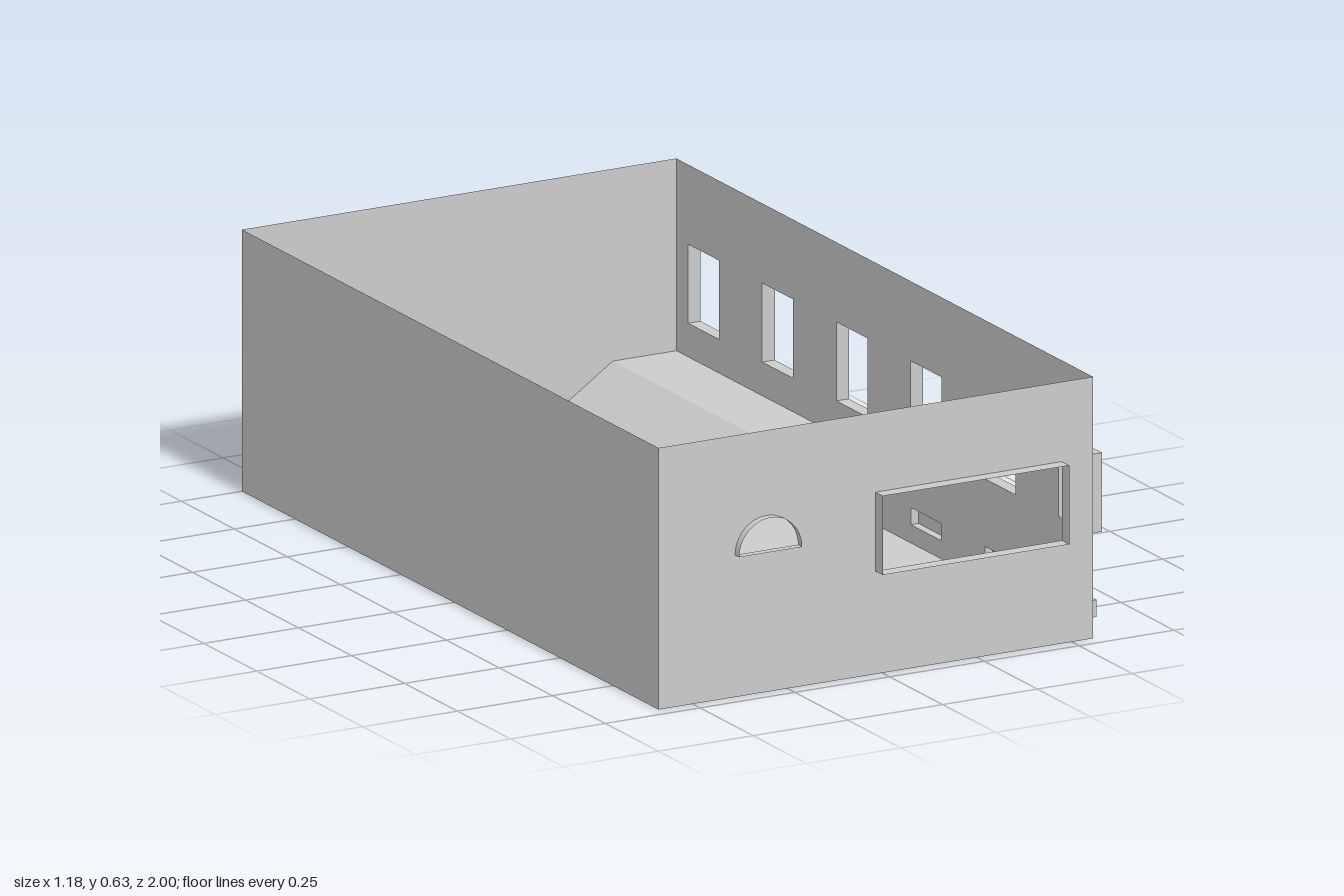
import * as THREE from 'three';

const X0 = -0.59, X1 = 0.556, Z0 = -1, Z1 = 0.965, H = 0.63;
const mat = new THREE.MeshStandardMaterial({ color: 0xcccccc, side: THREE.DoubleSide, flatShading: true });

const v2 = (pts) => pts.map(([x, y]) => new THREE.Vector2(x, y));
const rect = (x0, y0, x1, y1) => v2([[x0, y0], [x1, y0], [x1, y1], [x0, y1]]);

function add(parent, name, geometry) {
  const mesh = new THREE.Mesh(geometry, mat);
  mesh.name = name;
  parent.add(mesh);
  return mesh;
}

// Flat sheet with openings
function sheet(outline, holes = []) {
  const shape = new THREE.Shape(outline);
  holes.forEach((h) => shape.holes.push(new THREE.Path(h)));
  return new THREE.ShapeGeometry(shape);
}

// Thin band: an outline swept straight along +z; counter-clockwise outlines face outward
function band(pts, depth, closed = true) {
  const pos = [];
  const n = closed ? pts.length : pts.length - 1;
  for (let i = 0; i < n; i++) {
    const a = pts[i], b = pts[(i + 1) % pts.length];
    pos.push(a.x, a.y, 0, b.x, b.y, 0, b.x, b.y, depth);
    pos.push(a.x, a.y, 0, b.x, b.y, depth, a.x, a.y, depth);
  }
  const g = new THREE.BufferGeometry();
  g.setAttribute('position', new THREE.Float32BufferAttribute(pos, 3));
  g.computeVertexNormals();
  return g;
}

export function createModel() {
  const model = new THREE.Group();
  model.name = 'openRoomShell';

  const wallGroup = (name, x, z, turn) => {
    const g = new THREE.Group();
    g.name = name;
    g.position.set(x, 0, z);
    g.rotation.y = turn;
    model.add(g);
    return g;
  };

  // Stair recess cut (right rear) and small floor bump (left rear)
  const stairZ = -0.345, stairH = 0.167, stairX = 0.14, stairTopX = 0.388;
  const bx0 = -0.51, bx1 = -0.388, bumpH = 0.085, bumpTopZ = -0.925, bumpZ = -0.842;

  // Front wall with half-round and wide window
  const front = wallGroup('frontSide', 0, Z1, 0);
  const arch = [];
  for (let i = 0; i <= 24; i++) {
    const a = (Math.PI * i) / 24;
    arch.push(new THREE.Vector2(-0.305 + 0.083 * Math.cos(a), 0.342 + 0.083 * Math.sin(a)));
  }
  const wide = rect(-0.018, 0.248, 0.474, 0.438);
  add(front, 'frontWall', sheet(rect(X0, 0, X1, H), [arch, wide]));
  add(front, 'archWindowFrame', band(arch, 0.02));
  add(front, 'wideWindowFrame', band(wide, 0.035));

  // Right wall: local x runs toward the back
  const right = wallGroup('rightSide', X1, 0, Math.PI / 2);
  const windows = [], vents = [];
  for (let i = 0; i < 6; i++) {
    const u = -0.876 + i * 0.3495;
    windows.push(rect(u - 0.073, 0.248, u + 0.073, 0.438));
    if (i < 4) vents.push(rect(u - 0.071, 0.044, u + 0.071, 0.085));
  }
  const rightOutline = v2([[-Z1, 0], [-stairZ, 0], [-stairZ, stairH], [-Z0, stairH], [-Z0, H], [-Z1, H]]);
  add(right, 'rightWall', sheet(rightOutline, [...windows, ...vents]));
  windows.forEach((w) => add(right, 'windowFrame', band(w, 0.033)));
  vents.forEach((v) => {
    add(right, 'ventRim', band(v, 0.02));
    add(right, 'ventCover', sheet(v)).position.z = 0.02;
  });

  // Left wall
  const left = wallGroup('leftSide', X0, 0, -Math.PI / 2);
  add(left, 'leftWall', sheet(rect(Z0, 0, Z1, H)));

  // Back wall: local x is mirrored
  const back = wallGroup('backSide', 0, Z0, Math.PI);
  add(back, 'backWall', sheet(v2([
    [-X1, stairH], [-stairTopX, stairH], [-stairX, 0], [-bx1, 0], [-bx1, bumpH],
    [-bx0, bumpH], [-bx0, 0], [-X0, 0], [-X0, H], [-X1, H],
  ])));

  // Floor, outlined in x and z, cut away at both recesses
  const floor = add(model, 'floor', sheet(v2([
    [X0, Z0], [bx0, Z0], [bx0, bumpZ], [bx1, bumpZ], [bx1, Z0], [stairX, Z0],
    [stairX, stairZ], [X1, stairZ], [X1, Z1], [X0, Z1],
  ])));
  floor.rotation.x = Math.PI / 2;

  // Sloped stair recess with its front end closed
  const stair = wallGroup('stairRecess', 0, Z0, 0);
  const slope = v2([[stairX, 0], [stairTopX, stairH], [X1, stairH]]);
  add(stair, 'recessSlope', band(slope, stairZ - Z0, false));
  add(stair, 'recessEnd', sheet([...slope, new THREE.Vector2(X1, 0)])).position.z = stairZ - Z0;

  // Small bump with a ramped front; local x runs toward the front
  const bump = wallGroup('floorBump', bx1, 0, -Math.PI / 2);
  const ramp = v2([[bumpZ, 0], [bumpTopZ, bumpH], [Z0, bumpH]]);
  const side = [...ramp, new THREE.Vector2(Z0, 0)];
  add(bump, 'bumpRamp', band(ramp, bx1 - bx0, false));
  add(bump, 'bumpSide', sheet(side));
  add(bump, 'bumpSide', sheet(side)).position.z = bx1 - bx0;

  return model;
}
